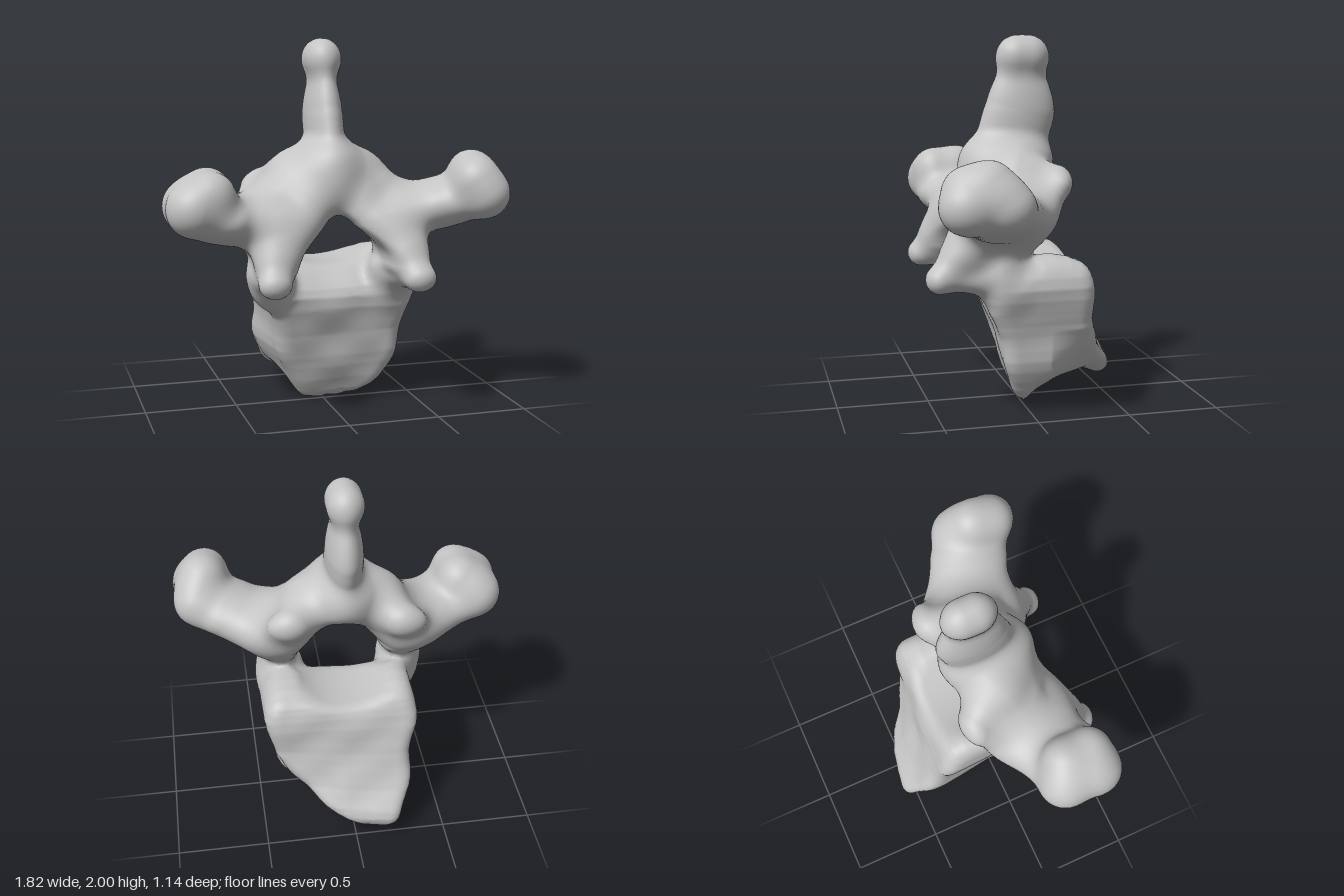
import * as THREE from 'three';

// ---- smooth blending helpers ----
const smin = (a, b, k) => {
  const h = Math.max(k - Math.abs(a - b), 0);
  return Math.min(a, b) - (h * h) / (4 * k);
};
const smax = (a, b, k) => -smin(-a, -b, k);
const clamp = (v) => Math.min(1, Math.max(0, v));

// piecewise linear lookup in [[t, value], ...], and a softened version of it
function ramp(t, pts) {
  if (t <= pts[0][0]) return pts[0][1];
  for (let i = 1; i < pts.length; i++) {
    const [t0, v0] = pts[i - 1], [t1, v1] = pts[i];
    if (t < t1) return v0 + ((v1 - v0) * (t - t0)) / (t1 - t0);
  }
  return pts[pts.length - 1][1];
}
const softRamp = (t, pts) => (ramp(t - 0.06, pts) + 2 * ramp(t, pts) + ramp(t + 0.06, pts)) / 4;

// tapered limb from a to b, with radii ra to rb stretched by s on each axis
function limb(a, b, ra, rb, s = [1, 1, 1]) {
  const d = b.map((v, i) => (v - a[i]) / s[i]);
  const len = d[0] * d[0] + d[1] * d[1] + d[2] * d[2];
  const m = Math.min(...s);
  return (x, y, z) => {
    const px = (x - a[0]) / s[0], py = (y - a[1]) / s[1], pz = (z - a[2]) / s[2];
    const h = clamp((px * d[0] + py * d[1] + pz * d[2]) / len);
    return (Math.hypot(px - h * d[0], py - h * d[1], pz - h * d[2]) - ra - h * (rb - ra)) * m;
  };
}

// ---- block of the body: smooth side profile (z, y) with a width that varies by height ----
const PROFILE = new THREE.CatmullRomCurve3([[-0.03, 0.0], [0.08, 0.2], [0.13, 0.4], [0.19, 0.62],
  [0.11, 0.74], [0, 0.83], [-0.05, 0.855], [-0.27, 0.82], [-0.335, 0.72], [-0.38, 0.5], [-0.46, 0.3],
  [-0.54, 0.16], [-0.5, 0.09], [-0.4, 0.125], [-0.25, 0.145], [-0.1, 0.09]]
  .map(([z, y]) => new THREE.Vector3(z, y, 0)), true).getPoints(48);
const LEFT_EDGE = [[0, 0.16], [0.05, 0.25], [0.12, 0.33], [0.3, 0.4], [0.5, 0.42], [0.7, 0.48], [0.85, 0.42]];
const RIGHT_EDGE = [[0, -0.18], [0.12, -0.23], [0.3, -0.31], [0.5, -0.32], [0.7, -0.37], [0.85, -0.34]];

function profileDistance(z, y) {
  let best = Infinity, inside = false;
  for (let i = 1; i < PROFILE.length; i++) {
    const a = PROFILE[i], b = PROFILE[i - 1];
    const ez = b.x - a.x, ey = b.y - a.y, wz = z - a.x, wy = y - a.y;
    const h = clamp((wz * ez + wy * ey) / (ez * ez + ey * ey || 1));
    best = Math.min(best, Math.hypot(wz - h * ez, wy - h * ey));
    if (a.y > y !== b.y > y && z < (ez * wy) / ey + a.x) inside = !inside;
  }
  return inside ? -best : best;
}

function bodyBlock(x, y, z) {
  const low = clamp(1 - y / 0.8);
  const lip = 0.2 * Math.max(x - 0.05, 0) * clamp(-z / 0.3);
  const zz = z - (0.2 * x + lip) * low;
  const yy = y - 0.1 * (x + 0.1) * low;
  const inset = 0.06 * clamp((z + 0.35) / 0.3) * low;
  const chamfer = 0.26 * clamp((0.47 - y) / 0.35) * clamp((-z - 0.1) / 0.27);
  const side = Math.max(softRamp(y, RIGHT_EDGE) + inset - x, x - softRamp(y, LEFT_EDGE) + chamfer);
  const rough = 0.005 * Math.sin(17 * x + 3 * y) * Math.sin(19 * y + 4 * z);
  return smax(profileDistance(zz, yy), side, 0.09) - 0.006 + rough;
}

// ---- parts, each a list of blended limbs ----
const parts = {
  vertebralBody: [bodyBlock],
  spinousProcess: [
    limb([0, 1.9, -0.005], [0, 1.9, -0.075], 0.096, 0.096),
    limb([0, 1.84, -0.035], [0, 1.6, -0.025], 0.12, 0.16, [0.52, 1, 1]),
    limb([0, 1.6, -0.025], [0, 1.33, 0.06], 0.16, 0.215, [0.52, 1, 1]),
  ],
};
for (const [name, s] of [['left', 1], ['right', -1]]) {
  const lift = s > 0 ? 0.015 : -0.015;
  parts[name + 'Lamina'] = [
    limb([s * 0.02, 1.325, 0.05], [s * 0.36, 1.09 + lift, 0.1], 0.2, 0.2, [1, 0.62, 1]),
    limb([s * 0.05, 1.2, 0.17], [s * 0.34, 0.9, 0.34], 0.12, 0.11),
  ];
  parts[name + 'Pedicle'] = [
    limb([s * 0.34, 0.7, 0.14], [s * 0.34, 1.02, 0.17], 0.125, 0.14, [0.85, 1, 1]),
  ];
  parts[name + 'UpperArticularProcess'] = [
    limb([s * 0.33, 1.22 + lift, -0.15], [s * 0.35, 1.03, 0.05], 0.065, 0.09, [1.5, 1.1, 1]),
    limb([s * 0.29, 1.24 + lift, -0.14], [s * 0.2, 1.27, 0.02], 0.07, 0.12),
  ];
  parts[name + 'LowerArticularProcess'] = [
    limb([s * 0.385, 0.775, 0.485 + lift], [s * 0.32, 1.0, 0.27], 0.06, 0.12, [1.2, 1, 1]),
    limb([s * 0.385, 0.76, 0.48 + lift], [s * 0.35, 0.76, 0.2], 0.05, 0.09, [1.2, 1, 1]),
  ];
}
parts.leftTransverseProcess = [
  limb([0.34, 1.04, 0.14], [0.6, 1.13, 0.23], 0.21, 0.21, [1, 0.56, 1]),
  limb([0.6, 1.13, 0.23], [0.76, 1.21, 0.33], 0.16, 0.19, [0.7, 0.75, 1.05]),
  limb([0.72, 1.27, 0.42], [0.775, 1.19, 0.44], 0.12, 0.12),
  limb([0.735, 1.3, 0.31], [0.785, 1.19, 0.22], 0.115, 0.11),
];
parts.rightTransverseProcess = [
  limb([-0.34, 1.02, 0.13], [-0.6, 1.08, 0.22], 0.21, 0.21, [1, 0.56, 1]),
  limb([-0.6, 1.09, 0.22], [-0.76, 1.16, 0.25], 0.16, 0.19, [0.7, 0.75, 1.05]),
  limb([-0.68, 1.22, 0.33], [-0.785, 1.15, 0.335], 0.12, 0.12),
  limb([-0.68, 1.235, 0.19], [-0.785, 1.15, 0.15], 0.115, 0.115),
];
const names = Object.keys(parts);

const partDistance = (name, x, y, z) =>
  parts[name].reduce((d, f) => smin(d, f(x, y, z), 0.07), 10);

// arched canal running front to back, with a pointed front mouth and a taller, wider back
function canal(x, y, z) {
  const back = clamp((0.25 - z) / 0.45);
  const rise = y > 0.92 ? 0.92 + (y - 0.92) / (1 + 1.0 * back) : y;
  const width = Math.max(0.75, Math.min(1.9, 1.5 - 6 * (rise - 0.9))) + 0.75 * back * clamp((y - 0.88) * 10);
  return Math.hypot((x - 0.02) / width, rise - 0.925) - 0.145;
}

function bone(x, y, z) {
  let d = 10;
  for (const n of names) d = smin(d, partDistance(n, x, y, z), 0.085);
  return smax(d, -canal(x, y, z), 0.04);
}

function gradient(p) {
  const e = 0.008, [x, y, z] = p;
  return [bone(x + e, y, z) - bone(x - e, y, z), bone(x, y + e, z) - bone(x, y - e, z),
    bone(x, y, z + e) - bone(x, y, z - e)].map((v) => v / (2 * e));
}

// ---- skin the blended field: one vertex per crossed cell, one quad per crossed edge ----
function skin() {
  const step = 0.02, min = [-1, -0.06, -0.68], n = [101, 108, 69];
  const stride = [1, n[0], n[0] * n[1]];
  const field = new Float32Array(n[0] * n[1] * n[2]);
  const at = (i, j, k) => i + j * stride[1] + k * stride[2];
  const each = (lo, hi, fn) => {
    for (let k = lo; k < n[2] - hi; k++)
      for (let j = lo; j < n[1] - hi; j++)
        for (let i = lo; i < n[0] - hi; i++) fn(i, j, k, at(i, j, k));
  };
  each(0, 0, (i, j, k, id) => {
    field[id] = bone(min[0] + i * step, min[1] + j * step, min[2] + k * step);
  });
  const cell = new Map(), points = [], normals = [], quads = [];
  each(0, 1, (i, j, k, id) => {
    const sum = [0, 0, 0];
    let count = 0;
    for (let c = 0; c < 8; c++) {
      const o = [c & 1, (c >> 1) & 1, c >> 2];
      const f0 = field[at(i + o[0], j + o[1], k + o[2])];
      for (let a = 0; a < 3; a++) {
        if (o[a]) continue;
        const f1 = field[at(i + o[0], j + o[1], k + o[2]) + stride[a]];
        if (f0 < 0 === f1 < 0) continue;
        const t = f0 / (f0 - f1);
        for (let b = 0; b < 3; b++) sum[b] += o[b] + (a === b ? t : 0);
        count++;
      }
    }
    if (!count) return;
    const p = [i, j, k].map((v, a) => min[a] + (v + sum[a] / count) * step);
    const g = gradient(p), len = Math.hypot(...g) || 1;
    const move = Math.max(-0.01, Math.min(0.01, bone(...p) / len));
    cell.set(id, points.length);
    points.push(p.map((v, a) => v - (move * g[a]) / len));
    normals.push(g.map((v) => v / len));
  });
  each(1, 1, (i, j, k, id) => {
    for (let a = 0; a < 3; a++) {
      const inside = field[id] < 0;
      if (inside === field[id + stride[a]] < 0) continue;
      const b = stride[(a + 1) % 3], c = stride[(a + 2) % 3];
      const q = [id, id - b, id - b - c, id - c].map((v) => cell.get(v));
      quads.push(inside ? q : q.reverse());
    }
  });
  return { points, normals, quads };
}

export function createModel() {
  const group = new THREE.Group();
  group.name = 'vertebra';
  const material = new THREE.MeshStandardMaterial({ color: 0xc4c4c4 });
  material.name = 'bone grey';
  const { points, normals, quads } = skin();

  // share the skin out among the named parts
  const faces = Object.fromEntries(names.map((name) => [name, []]));
  for (const q of quads) {
    const p = points[q[0]];
    let best = names[0], dist = Infinity;
    for (const name of names) {
      const d = partDistance(name, ...p);
      if (d < dist) [best, dist] = [name, d];
    }
    faces[best].push(q);
  }
  for (const name of names) {
    const local = new Map(), pos = [], nor = [], index = [];
    const use = (v) => {
      if (!local.has(v)) {
        local.set(v, local.size);
        pos.push(...points[v]);
        nor.push(...normals[v]);
      }
      return local.get(v);
    };
    for (const q of faces[name]) {
      const [a, b, c, d] = q.map(use);
      index.push(a, b, c, a, c, d);
    }
    const geometry = new THREE.BufferGeometry();
    geometry.setAttribute('position', new THREE.Float32BufferAttribute(pos, 3));
    geometry.setAttribute('normal', new THREE.Float32BufferAttribute(nor, 3));
    geometry.setIndex(index);
    const mesh = new THREE.Mesh(geometry, material);
    mesh.name = name;
    group.add(mesh);
  }
  return group;
}
